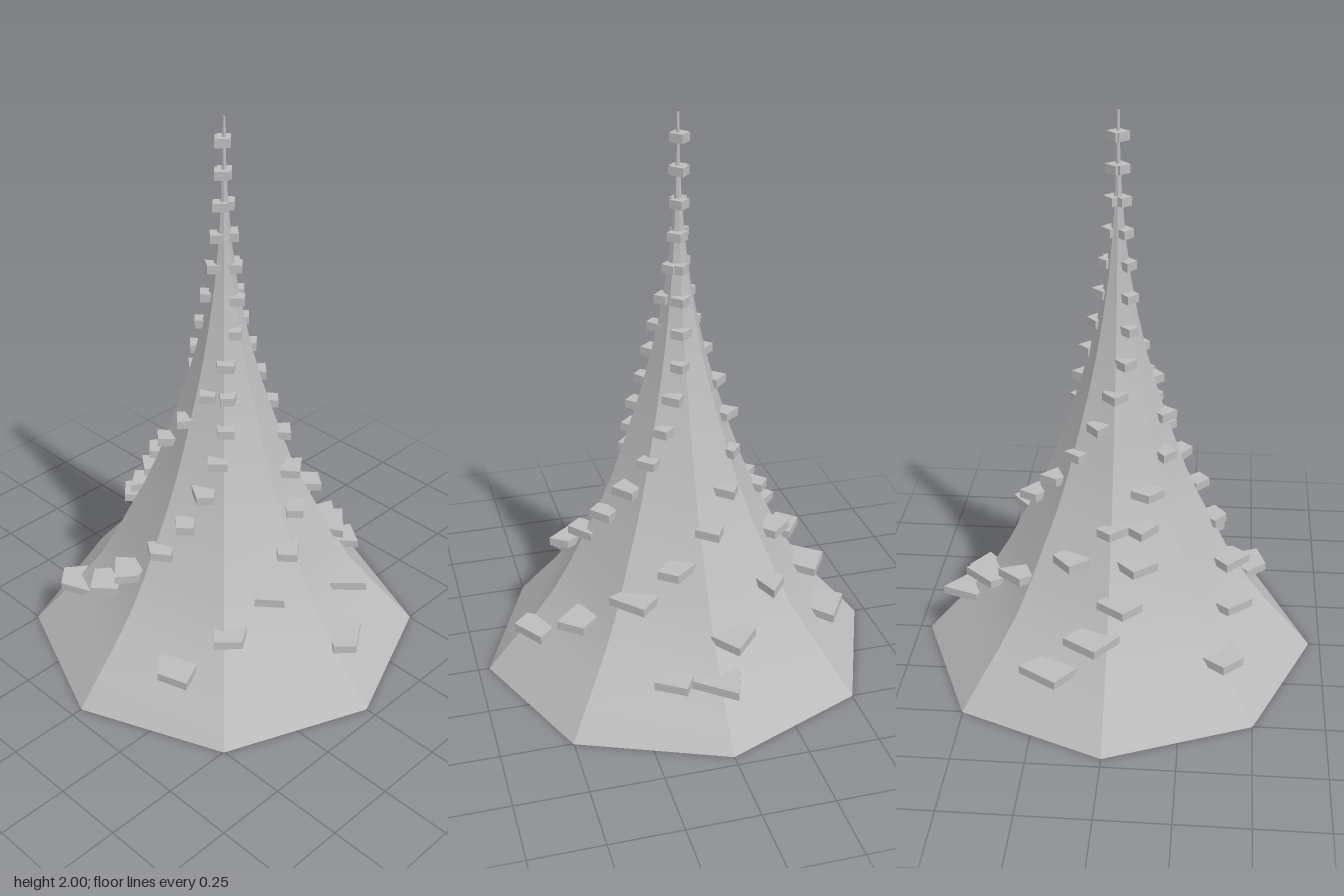
import * as THREE from 'three';
import { mergeGeometries } from 'three/addons/utils/BufferGeometryUtils.js';

const stone = new THREE.MeshStandardMaterial({ color: 0xbcbcbc, side: THREE.DoubleSide });
stone.name = 'stone grey';

// Radius and height of the spire, from the open base to the tip
const PROFILE = [
  [0.71, 0], [0.625, 0.1], [0.545, 0.19], [0.46, 0.3], [0.395, 0.41], [0.34, 0.52],
  [0.288, 0.62], [0.24, 0.73], [0.2, 0.84], [0.163, 0.95], [0.128, 1.06], [0.095, 1.18],
  [0.068, 1.3], [0.044, 1.43], [0.026, 1.57], [0.013, 1.72], [0.007, 1.85], [0.005, 2],
];

function radiusAt(y) {
  const i = Math.max(1, PROFILE.findIndex((p) => p[1] >= y));
  const [r0, y0] = PROFILE[i - 1];
  const [r1, y1] = PROFILE[i];
  return r0 + ((r1 - r0) * (y - y0)) / (y1 - y0);
}

// Small seeded generator, returns -1 to 1
let seed = 7;
function jitter() {
  seed = (seed * 16807) % 2147483647;
  return (seed / 2147483647) * 2 - 1;
}

// Eight panels: smooth up their height, with sharp edges between them
function makeSpire() {
  const points = PROFILE.map(([r, y]) => new THREE.Vector2(r, y));
  const panels = [];
  for (let i = 0; i < 8; i++) {
    const panel = new THREE.LatheGeometry(points, 1, (i * Math.PI) / 4, Math.PI / 4);
    panel.computeVertexNormals();
    panels.push(panel);
  }
  const mesh = new THREE.Mesh(mergeGeometries(panels), stone);
  mesh.name = 'spire';
  return mesh;
}

// Flat four-cornered step with uneven corners
function makeStep(size, unevenness) {
  const corners = [[1, 0], [0, 1], [-1, 0], [0, -1]].map(([x, y]) => new THREE.Vector2(
    size * (x + unevenness * jitter()), size * (y + unevenness * jitter())));
  const geometry = new THREE.ExtrudeGeometry(new THREE.Shape(corners), { depth: 0.03, bevelEnabled: false });
  geometry.rotateX(-Math.PI / 2);
  geometry.translate(0, -0.015, 0);
  const mesh = new THREE.Mesh(geometry, stone);
  mesh.name = 'step';
  return mesh;
}

export function createModel() {
  const model = new THREE.Group();
  model.name = 'steppedSpire';
  model.add(makeSpire());

  // Rings of steps that twist and thin out as they climb
  const rows = 17;
  for (let row = 0; row < rows; row++) {
    const ring = new THREE.Group();
    ring.name = 'stepRing';
    const t = row / (rows - 1);
    const y = 0.19 + row * 0.108;
    const perTurn = 5.25 - 0.2475 * row;
    const start = THREE.MathUtils.degToRad(16.2 - 27 * row);
    const size = 0.033 + 0.053 * (1 - t) ** 3;
    for (let k = 0; k < perTurn - 0.02; k++) {
      const angle = start + (k * 2 * Math.PI) / perTurn;
      const step = makeStep(size, 0.08 + 0.3 * (1 - t) ** 2);
      step.position.set(radiusAt(y) * Math.cos(angle), y, radiusAt(y) * Math.sin(angle));
      ring.add(step);
    }
    model.add(ring);
  }
  return model;
}
